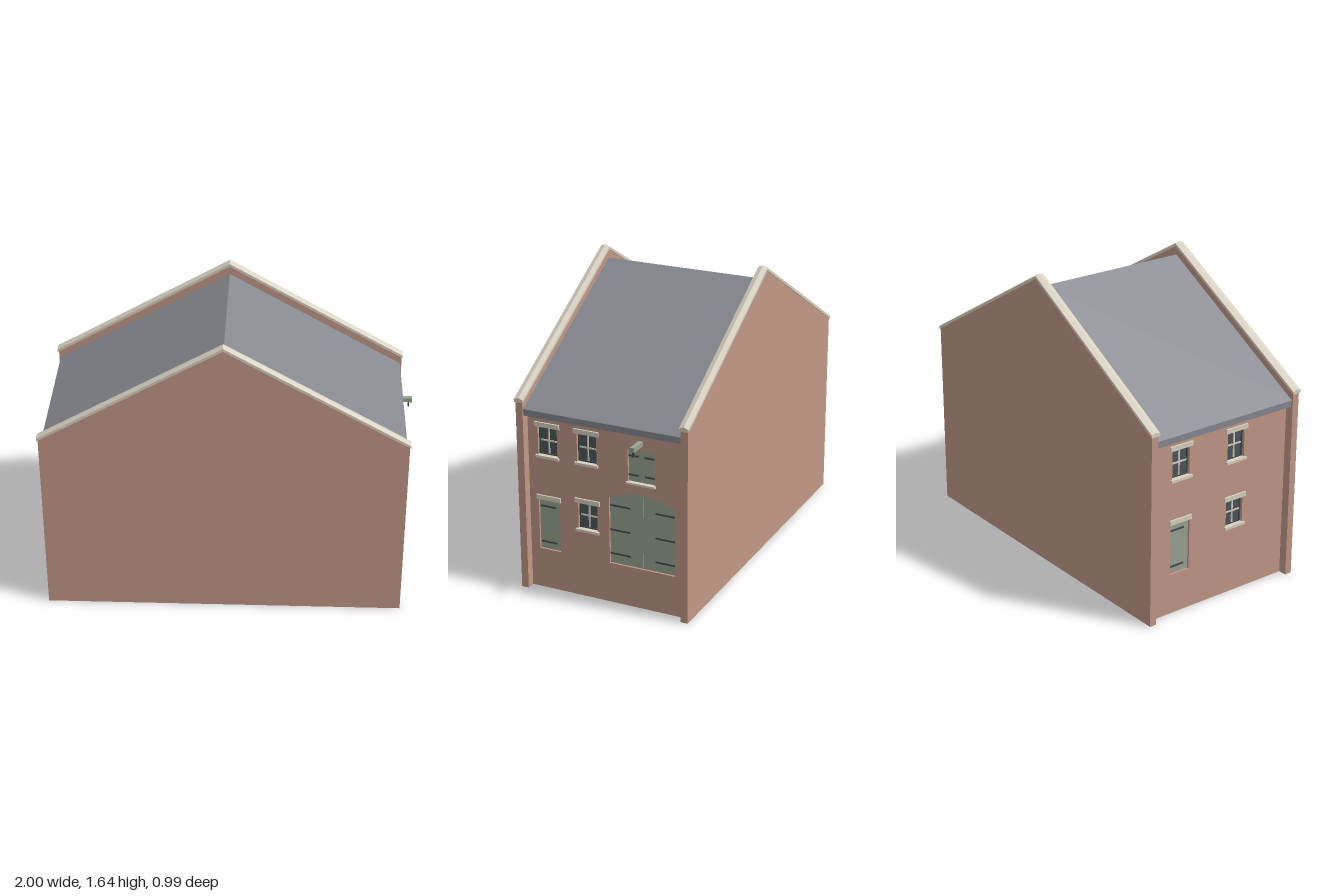
import * as THREE from 'three';

const mat = (name, color) => {
  const m = new THREE.MeshStandardMaterial({ color });
  m.name = name;
  return m;
};

export function createModel() {
  const brick = mat('brick', 0xc09785);
  const stone = mat('stone', 0xd6d0c0);
  const slate = mat('slate', 0x868890);
  const green = mat('greenPaint', 0x97a291);
  const glass = mat('glass', 0x4c5559);
  const iron = mat('iron', 0x444c50);

  const house = new THREE.Group();
  house.name = 'warehouse';

  const add = (parent, name, geo, m) => {
    const mesh = new THREE.Mesh(geo, m);
    mesh.name = name;
    parent.add(mesh);
    return mesh;
  };
  // box given by its bounds
  const box = (parent, name, m, x0, x1, y0, y1, z0, z1) => {
    const mesh = add(parent, name, new THREE.BoxGeometry(x1 - x0, y1 - y0, z1 - z0), m);
    mesh.position.set((x0 + x1) / 2, (y0 + y1) / 2, (z0 + z1) / 2);
    return mesh;
  };
  const poly = pts => new THREE.Shape(pts.map(p => new THREE.Vector2(...p)));
  const extrude = (shape, z0, z1) =>
    new THREE.ExtrudeGeometry(shape, { depth: z1 - z0, bevelEnabled: false, curveSegments: 16 }).translate(0, 0, z0);

  // sweeps a counter-clockwise (z, y) section along stations (x, y), keeping its ends vertical
  const sweep = (section, stations) => {
    const n = section.length, v = [];
    const P = (s, i) => [stations[s][0], stations[s][1] + section[i % n][1], section[i % n][0]];
    for (let s = 0; s < stations.length - 1; s++) {
      for (let i = 0; i < n; i++) {
        const a = P(s, i), b = P(s, i + 1), c = P(s + 1, i + 1), d = P(s + 1, i);
        v.push(...a, ...c, ...b, ...a, ...d, ...c);
      }
    }
    const e = stations.length - 1;
    for (let i = 1; i < n - 1; i++) {
      v.push(...P(0, 0), ...P(0, i), ...P(0, i + 1));
      v.push(...P(e, 0), ...P(e, i + 1), ...P(e, i));
    }
    const g = new THREE.BufferGeometry();
    g.setAttribute('position', new THREE.Float32BufferAttribute(v, 3));
    g.computeVertexNormals();
    return g;
  };

  // gable walls with ridged stone copings
  const MID = -0.023;
  const gable = poly([[-0.993, 0], [0.948, 0], [0.948, 1.059], [MID, 1.617], [-0.993, 1.059]]);
  const copingSection = [[-0.026, -0.022], [0.026, -0.022], [0.026, -0.006], [0, 0.003], [-0.026, -0.006]];
  for (const s of [1, -1]) {
    const side = s > 0 ? 'front' : 'back';
    add(house, side + 'Gable', extrude(gable, -0.02, 0.02), brick).position.z = s * 0.467;
    const coping = sweep(copingSection, [[-1, 1.077], [MID, 1.637], [0.953, 1.077]]);
    add(house, side + 'Coping', coping, stone).position.z = s * 0.467;
  }

  // pitched roof slab between the gables
  const roofSection = [[-0.448, -0.035], [0.448, -0.035], [0.448, 0], [-0.448, 0]];
  add(house, 'roof', sweep(roofSection, [[-0.985, 1.018], [MID, 1.567], [0.94, 1.018]]), slate);

  // outlines of openings, in wall coordinates (u along the wall, y up)
  const rect = (u, w, y0, y1) => poly([[u - w / 2, y0], [u + w / 2, y0], [u + w / 2, y1], [u - w / 2, y1]]);
  const arch = (u, w, y0, y1, rise) => {
    const s = new THREE.Shape();
    s.moveTo(u - w / 2, y0);
    s.lineTo(u + w / 2, y0);
    s.lineTo(u + w / 2, y1);
    s.quadraticCurveTo(u, y1 + 2 * rise, u - w / 2, y1);
    s.closePath();
    return s;
  };

  // a wall group faces local +z with its outer face at z = 0
  const makeWall = (name, x, turn, openings) => {
    const wall = new THREE.Group();
    wall.name = name;
    wall.position.x = x;
    wall.rotation.y = turn;
    house.add(wall);
    const shape = poly([[-0.45, 0], [0.45, 0], [0.45, 1], [-0.45, 1]]);
    shape.holes.push(...openings);
    add(wall, name + 'Bricks', extrude(shape, -0.04, 0), brick);
    return wall;
  };

  // four-light window with dark frame, stone-coloured bars, lintel and sill
  const W = 0.112;
  const makeWindow = (wall, u, y0, y1) => {
    const g = new THREE.Group();
    g.name = 'window';
    wall.add(g);
    const h = W / 2, t = 0.008, ym = (y0 + y1) / 2;
    box(g, 'glass', glass, u - h, u + h, y0, y1, -0.03, -0.02);
    for (const s of [-1, 1]) {
      const e = u + s * (h - t / 2), f = ym + s * ((y1 - y0) / 2 - t / 2);
      box(g, 'frameSide', iron, e - t / 2, e + t / 2, y0, y1, -0.03, -0.014);
      box(g, 'frameRail', iron, u - h + t, u + h - t, f - t / 2, f + t / 2, -0.03, -0.014);
    }
    box(g, 'mullion', stone, u - 0.004, u + 0.004, y0 + t, y1 - t, -0.03, -0.015);
    box(g, 'transom', stone, u - h + t, u + h - t, ym - 0.004, ym + 0.004, -0.03, -0.0155);
    box(g, 'lintel', stone, u - 0.072, u + 0.072, y1, y1 + 0.025, -0.02, 0.01);
    box(g, 'sill', stone, u - 0.067, u + 0.067, y0 - 0.012, y0 + 0.002, -0.02, 0.014);
  };

  // recessed door leaf with strap hinges, each [u0, u1, y]
  const makeDoor = (wall, name, shape, straps) => {
    add(wall, name, extrude(shape, -0.035, -0.012), green);
    for (const [u0, u1, y] of straps) box(wall, name + 'Hinge', iron, u0, u1, y - 0.0045, y + 0.0045, -0.013, -0.007);
  };
  const DOOR_W = 0.125, DOOR_Y = [0.225, 0.512];
  const makeSmallDoor = (wall, u) => {
    makeDoor(wall, 'door', rect(u, DOOR_W, ...DOOR_Y), [0.265, 0.47].map(y => [u - 0.055, u + 0.034, y]));
    box(wall, 'doorLintel', stone, u - 0.07, u + 0.07, 0.512, 0.537, -0.02, 0.01);
  };
  // narrow strip covering the joint of a pair of leaves
  const joint = (wall, u, y0, y1) => box(wall, 'doorJoint', green, u - 0.003, u + 0.003, y0, y1, -0.013, -0.01);

  // loading side
  const UP = [0.762, 0.922], LOW = [0.387, 0.536];
  const gate = arch(0.207, 0.375, 0.225, 0.598, 0.045);
  const hatch = rect(0.205, 0.15, 0.708, 0.886);
  const right = makeWall('loadingWall', 0.9, Math.PI / 2, [
    rect(-0.333, W, ...UP), rect(-0.105, W, ...UP), rect(-0.105, W, ...LOW),
    rect(-0.333, DOOR_W, ...DOOR_Y), gate, hatch,
  ]);
  makeWindow(right, -0.333, ...UP);
  makeWindow(right, -0.105, ...UP);
  makeWindow(right, -0.105, ...LOW);
  makeSmallDoor(right, -0.333);
  makeDoor(right, 'archedGate', gate,
    [0.28, 0.415, 0.553].flatMap(y => [[0.02, 0.135, y], [0.28, 0.394, y]]));
  joint(right, 0.207, 0.225, 0.642);
  makeDoor(right, 'hatch', hatch,
    [0.745, 0.85].flatMap(y => [[0.13, 0.188, y], [0.222, 0.28, y]]));
  joint(right, 0.205, 0.708, 0.886);
  box(right, 'hatchSill', stone, 0.122, 0.288, 0.698, 0.709, -0.02, 0.014);

  // hoist beam with hook
  box(right, 'hoistBeam', green, 0.193, 0.217, 0.917, 0.942, -0.03, 0.1);
  box(right, 'hoistHook', iron, 0.2, 0.21, 0.886, 0.917, 0.077, 0.086);

  // rear side
  const left = makeWall('rearWall', -0.945, -Math.PI / 2, [
    rect(-0.26, W, ...UP), rect(0.105, W, ...UP), rect(0.105, W, ...LOW),
    rect(-0.26, DOOR_W, ...DOOR_Y),
  ]);
  makeWindow(left, -0.26, ...UP);
  makeWindow(left, 0.105, ...UP);
  makeWindow(left, 0.105, ...LOW);
  makeSmallDoor(left, -0.26);

  return house;
}
